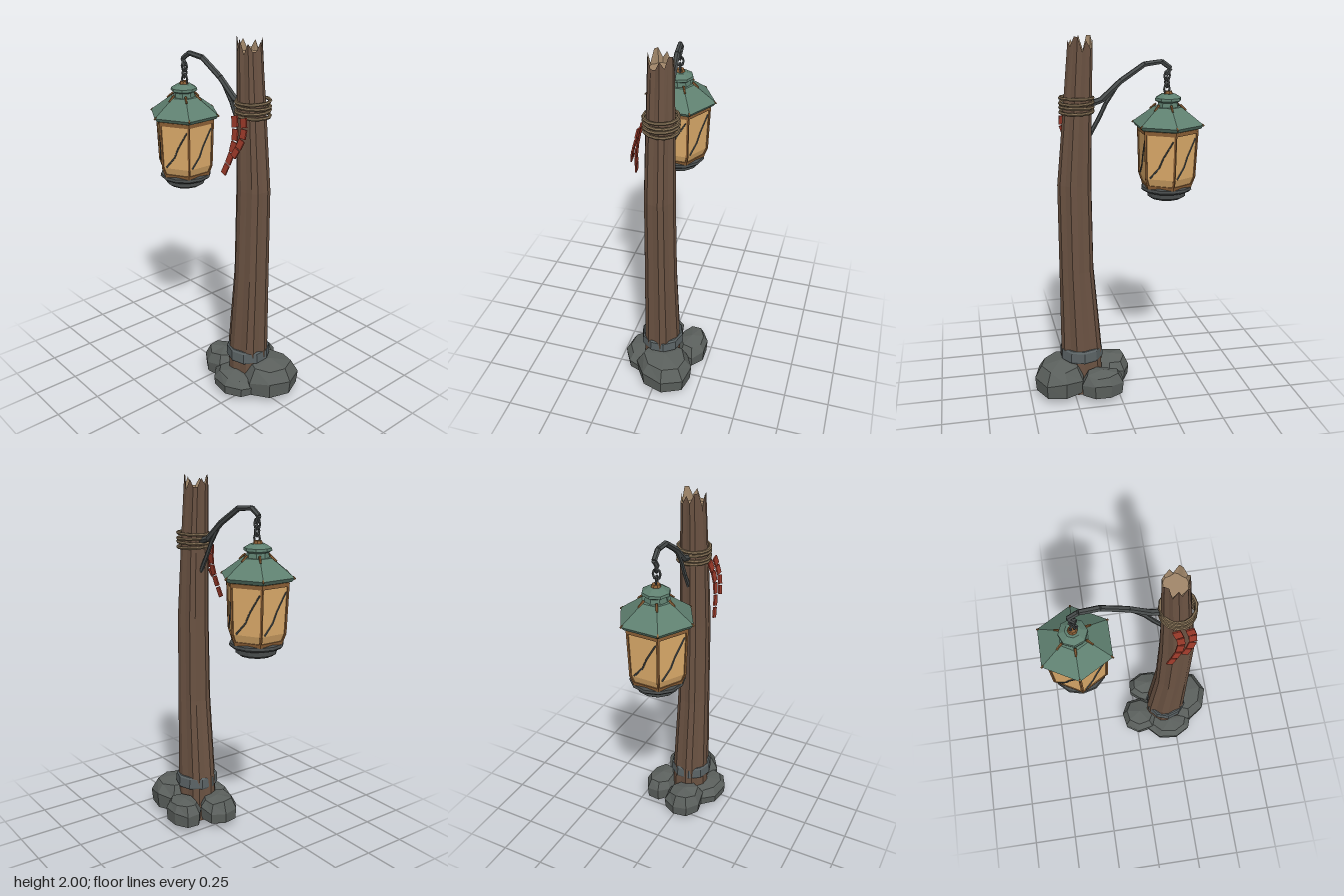
import * as THREE from 'three';

const mat = (name, color, side = THREE.FrontSide) => {
  const m = new THREE.MeshStandardMaterial({ color, flatShading: true, side });
  m.name = name;
  return m;
};
const V = (x, y, z) => new THREE.Vector3(x, y, z);
const hash = (n) => { const s = Math.sin(n * 12.9898) * 43758.5453; return s - Math.floor(s); };

export function createModel() {
  const bark = mat('bark brown', 0x6a5242);
  const cutWood = mat('cut wood', 0xa1876a, THREE.DoubleSide);
  const stone = mat('stone grey', 0x5b605d);
  const iron = mat('iron grey', 0x484c4c);
  const bandIron = mat('band grey', 0x5a6264);
  const copper = mat('roof green', 0x5f8070);
  const glass = mat('warm glass', 0xdcab6a);
  const brass = mat('frame brown', 0x8c6036);
  const rope = mat('rope tan', 0x7d6a50);
  const red = mat('tag red', 0x9c3a2a);

  const model = new THREE.Group();
  model.name = 'lanternPost';
  const add = (parent, name, geo, material) => {
    const m = new THREE.Mesh(geo, material);
    m.name = name;
    parent.add(m);
    return m;
  };
  // Straight tapered bar between two points
  const bar = (parent, name, a, b, r1, r2, sides, material) => {
    const d = b.clone().sub(a);
    const m = add(parent, name, new THREE.CylinderGeometry(r2, r1, d.length(), sides), material);
    m.position.copy(a).addScaledVector(d, 0.5);
    m.quaternion.setFromUnitVectors(V(0, 1, 0), d.normalize());
    return m;
  };
  const chainOfBars = (parent, name, pts, r1, r2, sides, material) => {
    const n = pts.length - 1;
    const r = (i) => r1 + (r2 - r1) * i / n;
    for (let i = 0; i < n; i++) bar(parent, name, pts[i], pts[i + 1], r(i), r(i + 1), sides, material);
  };
  const lathe = (pts, sides) =>
    new THREE.LatheGeometry(pts.map((p) => new THREE.Vector2(p[0], p[1])), sides);
  // Loops of points, first row on top
  const loops = (rows, sides, place) => {
    const g = new THREE.CylinderGeometry(1, 1, 1, sides, rows - 1, true);
    const p = g.attributes.position;
    for (let r = 0; r < rows; r++)
      for (let s = 0; s <= sides; s++) {
        const v = place(r, s % sides, s / sides * Math.PI * 2);
        p.setXYZ(r * (sides + 1) + s, v.x, v.y, v.z);
      }
    g.computeVertexNormals();
    return g;
  };

  // Grooved, bent wooden post: [y, centre x, radius x, radius z]
  const levels = [
    [2.0, 0.178, 0.068, 0.066], [1.6, 0.2, 0.081, 0.078], [1.23, 0.22, 0.097, 0.086],
    [0.74, 0.216, 0.1, 0.093], [0.27, 0.195, 0.121, 0.106], [0, 0.193, 0.123, 0.111],
  ];
  const N = 18;
  const postPoint = (row, s, a, k = 1) => {
    const [y, cx, rx, rz] = levels[row];
    const f = (s % 3 === 1 ? 0.9 : 0.98 + 0.03 * hash(s + 3)) * k;
    const drop = row === 0 ? [0, 0.05, 0.015, 0.06, 0.02, 0.075][(s * 5 + (s >> 2)) % 6] : 0;
    return V(cx + Math.sin(a) * rx * f, y - drop, 0.003 + Math.cos(a) * rz * f);
  };
  add(model, 'post', loops(levels.length, N, (r, s, a) => postPoint(r, s, a)), bark);
  add(model, 'splinteredTop', loops(3, N, (r, s, a) => {
    const v = postPoint(0, s, a, [1, 0.9, 0][r]);
    if (r > 0) v.y = 1.925;
    return v;
  }), cutWood);
  add(model, 'postUnderside', loops(2, N, (r, s, a) => postPoint(5, s, a, r ? 0 : 1)), cutWood);

  // Iron band near the ground
  const band = add(model, 'baseBand', lathe(
    [[0.1, 0.2], [0.118, 0.2], [0.123, 0.21], [0.12, 0.262], [0.112, 0.272], [0.1, 0.272]], 10), bandIron);
  band.position.set(0.196, 0, 0.002);

  // Rope wraps
  [1.617, 1.64, 1.664, 1.688].forEach((y, i) => {
    const m = add(model, 'ropeWrap', new THREE.TorusGeometry(0.087, 0.009, 6, 14), rope);
    m.position.set(0.203, y, -0.002);
    m.rotation.set(Math.PI / 2 + (i % 2 ? 0.03 : -0.03), i % 2 ? 0.025 : -0.02, 0);
  });

  // Rocks: [x, z, radius x, radius z, height, turn]
  [
    [0.1, -0.152, 0.127, 0.1, 0.135, 0.3], [0.325, -0.05, 0.148, 0.168, 0.17, 0.1],
    [0.025, 0.035, 0.122, 0.115, 0.135, 0.6], [0.212, 0.112, 0.147, 0.105, 0.105, 0.2],
  ].forEach(([x, z, rx, rz, h, turn], k) => {
    const profile = [[0, 0], [0.95, 0], [1, 0.5], [0.74, 0.88], [0, 1]];
    const g = lathe(profile, 8);
    g.rotateY(turn);
    const p = g.attributes.position;
    for (let i = 0; i < p.count; i++) {
      const ring = i % 5, seg = Math.floor(i / 5) % 8;
      const f = 0.9 + 0.14 * hash(k * 31 + seg * 7);
      const lift = ring === 2 || ring === 3 ? (hash(k * 17 + seg * 3 + ring) - 0.5) * 0.18 : 0;
      p.setXYZ(i, p.getX(i) * f * rx, (p.getY(i) + lift) * h, p.getZ(i) * f * rz);
    }
    add(model, 'rock', g, stone).position.set(x, 0.04, z);
  });

  // Bent iron arm with brace
  const arm = new THREE.Group();
  arm.name = 'arm';
  model.add(arm);
  chainOfBars(arm, 'armBar', [
    V(0.14, 1.65, 0), V(0.07, 1.672, 0.003), V(-0.035, 1.765, 0.012), V(-0.165, 1.848, 0.025),
    V(-0.262, 1.858, 0.036), V(-0.312, 1.822, 0.042), V(-0.288, 1.785, 0.045),
  ], 0.018, 0.012, 6, iron);
  chainOfBars(arm, 'brace', [
    V(-0.02, 1.75, 0.011), V(0.045, 1.655, 0.006), V(0.085, 1.575, 0.003), V(0.14, 1.48, 0),
  ], 0.011, 0.012, 6, iron);

  // Hanging lantern, hexagonal with corners to front and back
  const lantern = new THREE.Group();
  lantern.name = 'lantern';
  lantern.position.set(-0.303, 0, 0.045);
  model.add(lantern);
  for (let i = 0; i < 3; i++) {
    const link = add(lantern, 'chainLink', new THREE.TorusGeometry(0.018, 0.006, 5, 8), iron);
    link.scale.y = 1.4;
    link.position.set(0.008, 1.782 - i * 0.035, 0);
    link.rotation.y = i % 2 ? Math.PI / 2 + 0.3 : 0.3;
  }
  add(lantern, 'roof', lathe(
    [[0, 1.502], [0.165, 1.502], [0.186, 1.508], [0.2, 1.527], [0.078, 1.617], [0, 1.62]], 6), copper);
  add(lantern, 'roofCap', lathe(
    [[0.062, 1.61], [0.055, 1.642], [0.073, 1.652], [0.071, 1.666], [0.038, 1.686], [0, 1.688]], 8), copper);
  add(lantern, 'capRing', new THREE.CylinderGeometry(0.02, 0.026, 0.018, 8), brass).position.y = 1.692;
  add(lantern, 'base', lathe(
    [[0, 1.11], [0.09, 1.112], [0.108, 1.125], [0.108, 1.148], [0.132, 1.155], [0.143, 1.166],
      [0.14, 1.18], [0.12, 1.19], [0, 1.19]], 12), iron);
  const body = [[0.134, 1.185], [0.155, 1.24], [0.165, 1.5]];
  add(lantern, 'glassPanes', lathe(body, 6), glass);
  add(lantern, 'topFrame', lathe([[0.15, 1.482], [0.171, 1.482], [0.172, 1.503], [0.15, 1.503]], 6), brass);
  add(lantern, 'bottomFrame', lathe([[0.12, 1.18], [0.142, 1.18], [0.147, 1.2], [0.13, 1.2]], 6), brass);

  // Point on a pane: u across from left to right, y up
  const panePoint = (u, y) => {
    const r = 0.156 + (y - 1.24) / 0.26 * 0.01;
    const s = Math.sin(Math.PI / 3), c = Math.cos(Math.PI / 3);
    return V(r * s * u, y, r * (1 - u + c * u));
  };
  for (let i = 0; i < 6; i++) {
    const side = new THREE.Group();
    side.name = 'lanternSide';
    side.rotation.y = i * Math.PI / 3;
    lantern.add(side);
    chainOfBars(side, 'cornerPost', body.map(([r, y]) => V(0, y, r)), 0.008, 0.008, 5, brass);
    chainOfBars(side, 'paneTwig',
      [panePoint(0.14, 1.245), panePoint(0.46, 1.305), panePoint(0.6, 1.36), panePoint(0.93, 1.455)],
      0.005, 0.004, 5, iron);
    bar(side, 'ridgePeg', V(0, 1.63, 0.068), V(0, 1.603, 0.101), 0.007, 0.005, 5, brass);
    bar(side, 'cornerPeg', V(0, 1.533, 0.188), V(0, 1.522, 0.202), 0.005, 0.005, 5, brass);
  }

  // Two strings of red tags
  [
    [5, [V(0.18, 1.63, 0.1), V(0.205, 1.53, 0.118), V(0.195, 1.44, 0.132), V(0.15, 1.32, 0.148)]],
    [4, [V(0.245, 1.63, 0.098), V(0.262, 1.56, 0.112), V(0.258, 1.51, 0.126), V(0.222, 1.43, 0.146)]],
  ].forEach(([count, pts]) => {
    const curve = new THREE.CatmullRomCurve3(pts);
    const len = curve.getLength() / count;
    for (let i = 0; i < count; i++) {
      const t = (i + 0.5) / count;
      const tag = add(model, 'redTag', new THREE.BoxGeometry(0.042 - i * 0.002, len * 0.88, 0.008), red);
      tag.position.copy(curve.getPointAt(t));
      tag.quaternion.setFromUnitVectors(V(0, -1, 0), curve.getTangentAt(t));
      tag.quaternion.multiply(new THREE.Quaternion().setFromAxisAngle(V(0, 0, 1), Math.PI));
    }
  });

  return model;
}
